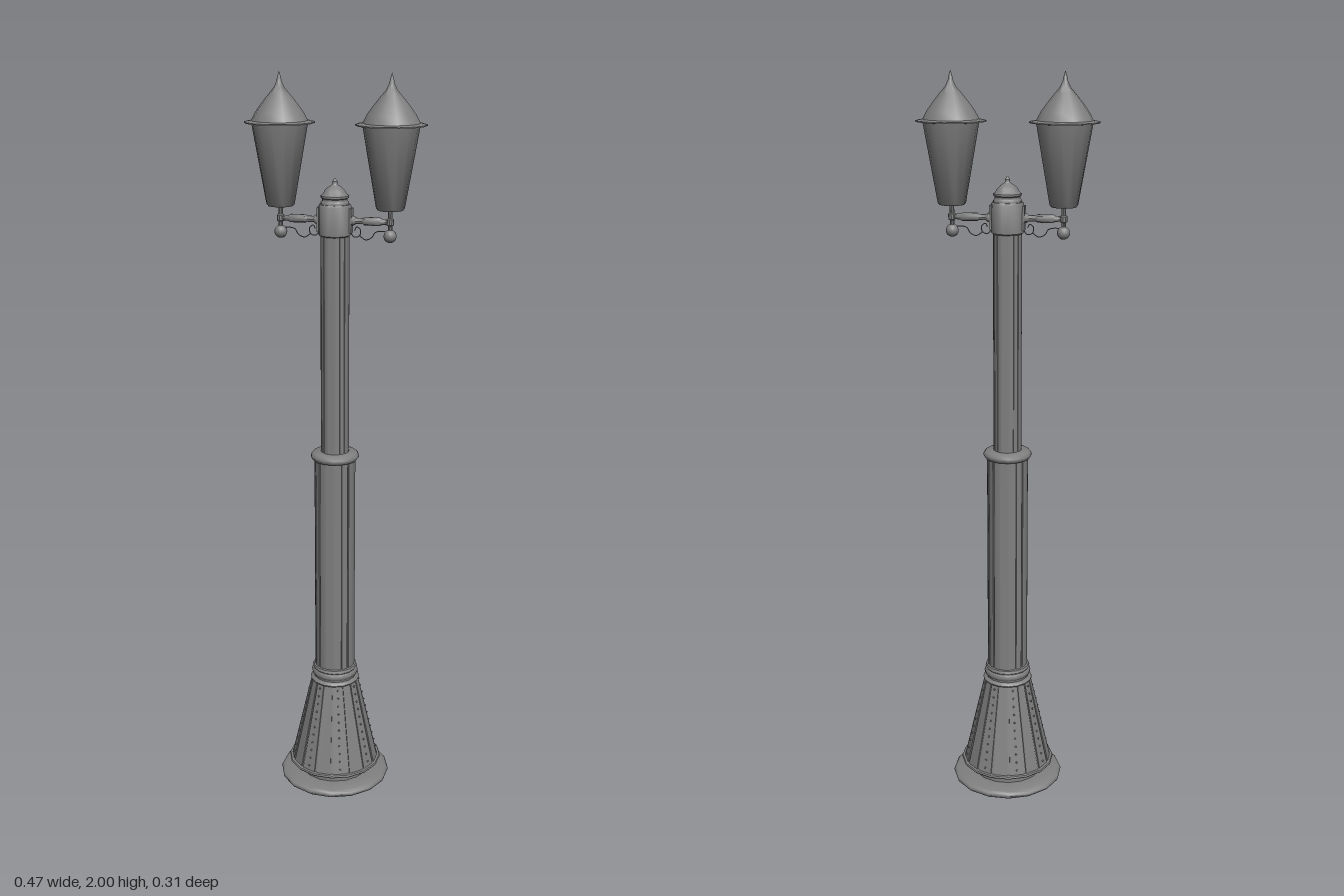
import * as THREE from 'three';
import { toCreasedNormals, mergeGeometries } from 'three/addons/utils/BufferGeometryUtils.js';

const mat = new THREE.MeshStandardMaterial({ color: 0x808080, side: THREE.DoubleSide });

function add(parent, name, geometry, x = 0, y = 0, z = 0) {
  const mesh = new THREE.Mesh(geometry, mat);
  mesh.name = name;
  mesh.position.set(x, y, z);
  parent.add(mesh);
  return mesh;
}

// Turned part from [radius, height] pairs, listed from bottom to top
function turned(profile, sides = 16, phase = Math.PI / 16) {
  const points = profile.map(([r, y]) => new THREE.Vector2(r, y));
  return toCreasedNormals(new THREE.LatheGeometry(points, sides, phase), 0.85);
}

// Round column with a pair of narrow grooves on each diagonal
function grooved(radius, groove, height) {
  const shape = new THREE.Shape();
  const step = Math.PI / 8;
  for (let i = 0; i < 16; i++) {
    const r = i % 4 === 1 || i % 4 === 2 ? groove : radius;
    [[-0.4, radius], [0, radius], [0.4, radius], [0.43, r], [0.57, r]].forEach(([f, d], k) => {
      const x = Math.cos((i + f) * step) * d, y = Math.sin((i + f) * step) * d;
      if (i + k === 0) shape.moveTo(x, y);
      else shape.lineTo(x, y);
    });
  }
  shape.closePath();
  const geo = new THREE.ExtrudeGeometry(shape, { depth: height, bevelEnabled: false });
  geo.rotateX(-Math.PI / 2);
  return toCreasedNormals(geo, 0.5);
}

function tube(points, radius) {
  const curve = new THREE.CatmullRomCurve3(points.map(([x, y]) => new THREE.Vector3(x, y, 0)));
  return new THREE.TubeGeometry(curve, 40, radius, 6);
}

// Flared skirt: tapered core, raised staves and columns of rivets
function skirt() {
  const group = new THREE.Group();
  group.name = 'flaredSkirt';
  add(group, 'skirtCore', turned([[0.09, 0.05], [0.131, 0.05], [0.133, 0.053], [0.131, 0.057], [0.121, 0.058],
    [0.063, 0.312]]));
  const staves = [], rivets = [];
  const at = (r, y, a) => [Math.sin(a) * r, y, Math.cos(a) * r];
  for (let i = 0; i < 16; i++) {
    const mid = (i * Math.PI) / 8, half = 0.165;
    const p = [];
    for (const [r, y] of [[0.112, 0.058], [0.124, 0.058], [0.066, 0.312], [0.055, 0.312]])
      p.push(at(r, y, mid - half), at(r, y, mid + half));
    const geo = new THREE.BufferGeometry();
    geo.setAttribute('position', new THREE.Float32BufferAttribute(p.flat(), 3));
    geo.setIndex([2, 3, 5, 2, 5, 4, 0, 1, 3, 0, 3, 2, 4, 5, 7, 4, 7, 6, 0, 2, 4, 0, 4, 6, 1, 5, 3, 1, 7, 5]);
    staves.push(toCreasedNormals(geo, 0.2));
    if (i % 2 === 0) continue;
    for (let k = 0; k < 11; k++) {
      const t = (k + 0.6) / 11.2;
      const rivet = new THREE.SphereGeometry(0.0026, 8, 6);
      rivet.translate(...at((0.124 - 0.058 * t) * Math.cos(half) + 0.0012, 0.058 + 0.254 * t, mid));
      rivets.push(rivet);
    }
  }
  add(group, 'skirtStaves', mergeGeometries(staves));
  add(group, 'skirtRivets', mergeGeometries(rivets));
  return group;
}

// One arm with its bracket and lantern, reaching towards +x
function lampArm() {
  const group = new THREE.Group();
  const X = 0.147;
  const bar = turned([[0.008, 0.035], [0.012, 0.045], [0.012, 0.052], [0.008, 0.056], [0.008, 0.075], [0.011, 0.079],
    [0.011, 0.12], [0.008, 0.125], [0.006, X]], 10, 0);
  bar.rotateZ(-Math.PI / 2);
  add(group, 'armBar', bar, 0, 1.63, 0);
  add(group, 'armMount', new THREE.BoxGeometry(0.01, 0.064, 0.024), 0.041, 1.63, 0);

  // Scrolled wire bracket
  add(group, 'scrollBracket', tube([[0.04, 1.603], [0.052, 1.588], [0.066, 1.592], [0.068, 1.608], [0.058, 1.614],
    [0.053, 1.605]], 0.0014));
  add(group, 'scrollBracket', tube([[0.066, 1.592], [0.082, 1.582], [0.098, 1.588], [0.108, 1.602], [0.126, 1.606],
    [X, 1.602]], 0.0014));

  add(group, 'pendantBall', new THREE.SphereGeometry(0.017, 14, 10), X, 1.594, 0);
  add(group, 'lanternStem', turned([[0.006, 1.6], [0.006, 1.62], [0.01, 1.623], [0.01, 1.637], [0.006, 1.64],
    [0.006, 1.667]], 10, 0), X, 0, 0);
  add(group, 'lanternBody', turned([[0, 1.661], [0.033, 1.661], [0.037, 1.666], [0.073, 1.872]], 14, 0), X, 0, 0);
  add(group, 'lanternRoof', turned([[0.07, 1.87], [0.091, 1.872], [0.091, 1.875], [0.073, 1.878], [0.062, 1.899],
    [0.045, 1.922], [0.028, 1.943], [0.014, 1.959], [0.007, 1.974], [0.004, 1.988], [0, 2]], 14, 0), X, 0, 0);
  return group;
}

export function createModel() {
  const lamp = new THREE.Group();
  lamp.name = 'streetLamp';

  // Foot, hollow underneath
  add(lamp, 'baseFlange', turned([[0, 0.05], [0.092, 0.05], [0.092, 0], [0.15, 0], [0.155, 0.004], [0.157, 0.01],
    [0.154, 0.016], [0.147, 0.02], [0.098, 0.02], [0.098, 0.052]]));
  lamp.add(skirt());

  // Lower column with mouldings at both ends
  add(lamp, 'lowerMoulding', turned([[0.055, 0.308], [0.068, 0.309], [0.07, 0.313], [0.068, 0.317], [0.06, 0.32],
    [0.06, 0.324], [0.065, 0.329], [0.066, 0.335], [0.064, 0.341], [0.06, 0.344], [0.063, 0.349], [0.061, 0.356],
    [0.05, 0.36]]));
  add(lamp, 'lowerColumn', grooved(0.056, 0.053, 0.63), 0, 0.355, 0);
  add(lamp, 'columnRing', turned([[0.05, 0.974], [0.061, 0.977], [0.066, 0.984], [0.066, 0.99], [0.06, 0.997],
    [0.036, 1]]));

  // Upper column, collar and finial
  add(lamp, 'upperColumn', grooved(0.038, 0.036, 0.61), 0, 0.99, 0);
  add(lamp, 'collar', turned([[0.036, 1.587], [0.043, 1.592], [0.043, 1.666], [0.04, 1.671], [0, 1.671]]));
  add(lamp, 'finial', turned([[0.037, 1.668], [0.037, 1.676], [0.033, 1.68], [0.033, 1.685], [0.037, 1.688],
    [0.037, 1.693], [0.032, 1.696], [0.027, 1.705], [0.018, 1.714], [0.008, 1.72], [0.006, 1.724], [0.007, 1.729],
    [0, 1.738]]));

  // Pair of lamps
  for (const side of [1, -1]) {
    const arm = lampArm();
    arm.name = side > 0 ? 'leftLamp' : 'rightLamp';
    if (side < 0) arm.rotation.y = Math.PI;
    lamp.add(arm);
  }
  return lamp;
}
